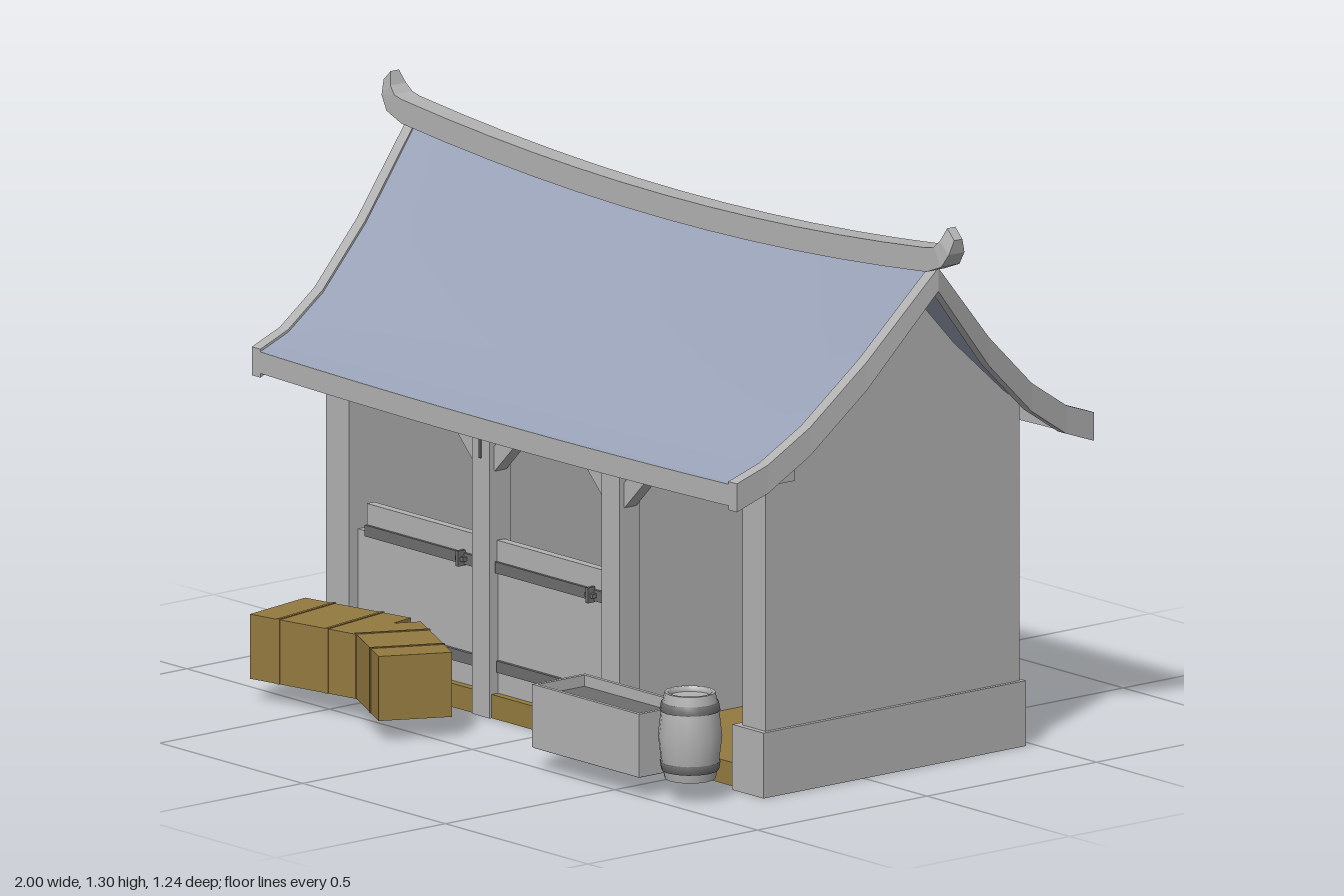
import * as THREE from 'three';

const mat = (name, color) => {
  const m = new THREE.MeshStandardMaterial({ color, side: THREE.DoubleSide });
  m.name = name;
  return m;
};

// Roof slope: distance from the ridge line, height of the upper edge
const RIDGE_Z = -0.0925;
const SLOPE = [[0, 1.2], [0.18, 1.003], [0.327, 0.869], [0.44, 0.797], [0.527, 0.766]];
const edgeX = (y) => 0.85 + (0.08 * (y - 0.766)) / 0.434;
const sag = (x, y) => (0.012 + (0.038 * (y - 0.766)) / 0.434) * (1 - (x / 0.93) ** 2);

// Closed solid through rings of four corners; faces are turned outward
function loft(rings) {
  const tris = [];
  const quad = (a, b, c, d) => tris.push([a, b, c], [a, c, d]);
  for (let i = 0; i < rings.length - 1; i++) {
    for (let j = 0; j < 4; j++) {
      const k = (j + 1) % 4;
      quad(rings[i][j], rings[i][k], rings[i + 1][k], rings[i + 1][j]);
    }
  }
  const s = rings[0], e = rings[rings.length - 1];
  quad(s[3], s[2], s[1], s[0]);
  quad(e[0], e[1], e[2], e[3]);
  const V = (p) => new THREE.Vector3(...p);
  const volume = tris.reduce((t, [a, b, c]) => t + V(a).dot(V(b).cross(V(c))), 0);
  const out = tris.flatMap((t) => (volume < 0 ? [t[0], t[2], t[1]] : t)).flat();
  const g = new THREE.BufferGeometry();
  g.setAttribute('position', new THREE.Float32BufferAttribute(out, 3));
  g.computeVertexNormals();
  return g;
}

// One curved roof slope, dir = 1 for the front, -1 for the back
function slopeGeometry(dir) {
  const n = 16, pos = [], idx = [];
  SLOPE.forEach(([d, y]) => {
    for (let i = 0; i <= n; i++) {
      const x = (edgeX(y) - 0.015) * ((2 * i) / n - 1);
      pos.push(x, y - 0.003 - sag(x, y), RIDGE_Z + dir * d);
    }
  });
  for (let r = 0; r < SLOPE.length - 1; r++) {
    for (let i = 0; i < n; i++) {
      const a = r * (n + 1) + i, b = a + 1, c = a + n + 1, e = c + 1;
      if (dir > 0) idx.push(a, c, b, b, c, e);
      else idx.push(a, b, c, b, e, c);
    }
  }
  const g = new THREE.BufferGeometry();
  g.setAttribute('position', new THREE.Float32BufferAttribute(pos, 3));
  g.setIndex(idx);
  g.computeVertexNormals();
  return g;
}

export function createModel() {
  const grey = mat('grey wood', 0xb2b2b2);
  const dark = mat('dark iron', 0x6e6e6e);
  const straw = mat('straw', 0x947a40);
  const blue = mat('blue roof', 0x98a1b6);

  const model = new THREE.Group();
  model.name = 'stable';
  const add = (name, geo, m, parent = model) => {
    const mesh = new THREE.Mesh(geo, m);
    mesh.name = name;
    parent.add(mesh);
    return mesh;
  };
  // Box given by its two limits on each axis
  const box = (name, m, x0, x1, y0, y1, z0, z1, parent) => {
    const mesh = add(name, new THREE.BoxGeometry(x1 - x0, y1 - y0, z1 - z0), m, parent);
    mesh.position.set((x0 + x1) / 2, (y0 + y1) / 2, (z0 + z1) / 2);
    return mesh;
  };
  // The same box without its bottom face
  const openBox = (...args) => {
    const g = box(...args).geometry;
    g.setIndex([...g.index.array].filter((v, i) => i < 18 || i > 23));
    g.clearGroups();
  };

  // Hollow foundation and floor
  openBox('leftFoundation', grey, 0.67, 0.78, 0, 0.152, -0.478, 0.297);
  openBox('rightFoundation', grey, -0.78, -0.67, 0, 0.152, -0.478, 0.297);
  openBox('backFoundation', grey, -0.67, 0.67, 0, 0.152, -0.478, -0.4);
  openBox('floor', straw, -0.668, 0.668, 0, 0.055, -0.398, 0.275);

  // Gable walls follow the roof underside
  const low = 0.035;
  const gable = new THREE.Shape([
    [-0.466, 0.152], [0.283, 0.152], [0.283, 0.8], [0.2345, 0.869 - low], [0.0875, 1.003 - low],
    [RIDGE_Z, 1.2 - low], [-0.2725, 1.003 - low], [-0.4195, 0.869 - low], [-0.466, 0.8],
  ].map((p) => new THREE.Vector2(...p)));
  [0.77, -0.69].forEach((x, i) => {
    const g = new THREE.ExtrudeGeometry(gable, { depth: 0.08, bevelEnabled: false });
    g.rotateY(-Math.PI / 2);
    add(i ? 'rightWall' : 'leftWall', g, grey).position.x = x;
  });
  box('backWall', grey, -0.69, 0.69, 0.152, 0.8, -0.466, -0.4);

  // Front frame: lintel, posts, diagonal braces, and stall partitions behind the posts
  box('lintel', grey, -0.79, 0.79, 0.727, 0.797, 0.214, 0.285);
  for (const px of [-0.23, 0.225]) {
    openBox('post', grey, px - 0.031, px + 0.031, 0, 0.735, 0.22, 0.281);
    box('partition', grey, px - 0.028, px + 0.028, 0.055, 0.79, -0.4, 0.22);
    for (const s of [-1, 1]) {
      const brace = add('brace', new THREE.BoxGeometry(0.042, 0.21, 0.035), grey);
      brace.position.set(px + s * 0.092, 0.662, 0.25);
      brace.rotation.z = -s * Math.PI / 4;
    }
  }

  // Stall gates with iron bands and latches
  for (const [x0, x1, p0, p1] of [[-0.652, -0.265, -0.69, -0.26], [-0.195, 0.19, -0.2, 0.195]]) {
    const gate = new THREE.Group();
    gate.name = 'stallGate';
    model.add(gate);
    box('gatePanel', grey, p0, p1, 0.055, 0.345, 0.23, 0.256, gate);
    box('gateRail', grey, x0, x1, 0.335, 0.412, 0.24, 0.262, gate);
    box('upperBand', dark, x0, x1, 0.337, 0.363, 0.26, 0.269, gate);
    box('lowerBand', dark, x0, x1, 0.105, 0.132, 0.255, 0.264, gate);
    box('latch', dark, x1 - 0.047, x1 - 0.038, 0.334, 0.37, 0.265, 0.286, gate);
    box('latchBar', dark, x1 - 0.056, x1 - 0.028, 0.346, 0.356, 0.265, 0.281, gate);
  }

  // Hook on the post
  box('hookBar', dark, -0.27, -0.19, 0.677, 0.686, 0.28, 0.29);
  box('hookRod', dark, -0.233, -0.227, 0.6, 0.68, 0.28, 0.285);

  // Roof: slopes, eave boards, gable trim and ridge
  add('frontSlope', slopeGeometry(1), blue);
  add('backSlope', slopeGeometry(-1), blue);
  for (const dir of [1, -1]) {
    const g = new THREE.BoxGeometry(1.69, 0.05, 0.014, 16, 1, 1);
    const p = g.attributes.position;
    for (let i = 0; i < p.count; i++) p.setY(i, p.getY(i) - sag(p.getX(i), 0.766));
    g.computeVertexNormals();
    add('eaveBoard', g, grey).position.set(0, 0.737, RIDGE_Z + dir * 0.5195);
  }
  const path = [
    ...SLOPE.slice().reverse().map(([d, y]) => [d, y]),
    ...SLOPE.slice(1).map(([d, y]) => [-d, y]),
  ];
  for (const s of [1, -1]) {
    const rings = path.map(([d, y]) => {
      const x = edgeX(y), b = y - (d === 0 ? 0.055 : 0.066), z = RIDGE_Z + d;
      return [[s * x, y, z], [s * x, b, z], [s * (x - 0.03), b, z], [s * (x - 0.03), y, z]];
    });
    add('gableTrim', loft(rings), grey);
  }
  // Ridge sections: lower x, y, upper x, y, half width
  const body = [];
  for (let i = -6; i <= 6; i++) {
    const x = (i / 6) * 0.92, y = 1.2 + 0.05 * (x / 0.93) ** 2;
    body.push([x, y - 0.056, x, y, 0.027]);
  }
  const curl = [[0.972, 1.213, 0.945, 1.255, 0.027], [0.994, 1.245, 0.963, 1.272, 0.023],
    [1.0, 1.278, 0.975, 1.302, 0.012]];
  const ridge = [
    ...curl.slice().reverse().map(([a, b, c, d, w]) => [-a, b, -c, d, w]), ...body, ...curl,
  ].map(([x0, y0, x1, y1, w]) => [
    [x0, y0, RIDGE_Z - w], [x0, y0, RIDGE_Z + w], [x1, y1, RIDGE_Z + w], [x1, y1, RIDGE_Z - w],
  ]);
  add('ridge', loft(ridge), grey);

  // Hay heap inside the open bay
  const hay = new THREE.LatheGeometry(
    [[0.145, 0.05], [0.135, 0.2], [0.088, 0.287], [0, 0.325]].map((p) => new THREE.Vector2(...p)), 10,
  );
  add('hayHeap', hay, straw).position.set(0.49, 0, -0.15);

  // Hay bales with binding straps
  for (const [x, z, w, d, turn] of [[-0.55, 0.455, 0.306, 0.2, 0.197], [-0.282, 0.476, 0.3, 0.17, -0.464]]) {
    const bale = new THREE.Group();
    bale.name = 'hayBale';
    bale.position.set(x, 0.125, z);
    bale.rotation.y = turn;
    model.add(bale);
    openBox('baleBody', straw, -w / 2, w / 2, -0.075, 0.075, -d / 2, d / 2, bale);
    for (const s of [-0.07, 0.07]) {
      openBox('strap', straw, s - 0.004, s + 0.004, -0.075, 0.077, -d / 2 - 0.002, d / 2 + 0.002, bale);
    }
  }

  // Trough
  const trough = new THREE.Group();
  trough.name = 'trough';
  model.add(trough);
  box('troughFront', grey, 0.232, 0.606, 0.052, 0.198, 0.508, 0.518, trough);
  box('troughBack', grey, 0.232, 0.606, 0.052, 0.198, 0.362, 0.372, trough);
  box('troughEnd', grey, 0.232, 0.242, 0.052, 0.198, 0.372, 0.508, trough);
  box('troughEnd', grey, 0.596, 0.606, 0.052, 0.198, 0.372, 0.508, trough);
  box('troughInside', dark, 0.234, 0.604, 0.05, 0.172, 0.364, 0.516, trough);

  // Barrel with two hoops
  const barrel = new THREE.Group();
  barrel.name = 'barrel';
  barrel.position.set(0.677, 0, 0.427);
  model.add(barrel);
  const lathe = (name, pts, m) =>
    add(name, new THREE.LatheGeometry(pts.map((p) => new THREE.Vector2(...p)), 16), m, barrel);
  lathe('barrelStaves', [[0.058, 0.05], [0.066, 0.09], [0.073, 0.15], [0.066, 0.21], [0.058, 0.25]], grey);
  lathe('barrelRim', [[0.058, 0.25], [0.05, 0.25], [0.05, 0.238]], grey);
  lathe('barrelLid', [[0.05, 0.238], [0, 0.238]], grey);
  lathe('barrelBottom', [[0, 0.05], [0.058, 0.05]], grey);
  lathe('lowerHoop', [[0.06, 0.07], [0.0655, 0.07], [0.069, 0.09], [0.063, 0.09]], dark);
  lathe('upperHoop', [[0.063, 0.208], [0.069, 0.208], [0.0655, 0.228], [0.06, 0.228]], dark);

  return model;
}
